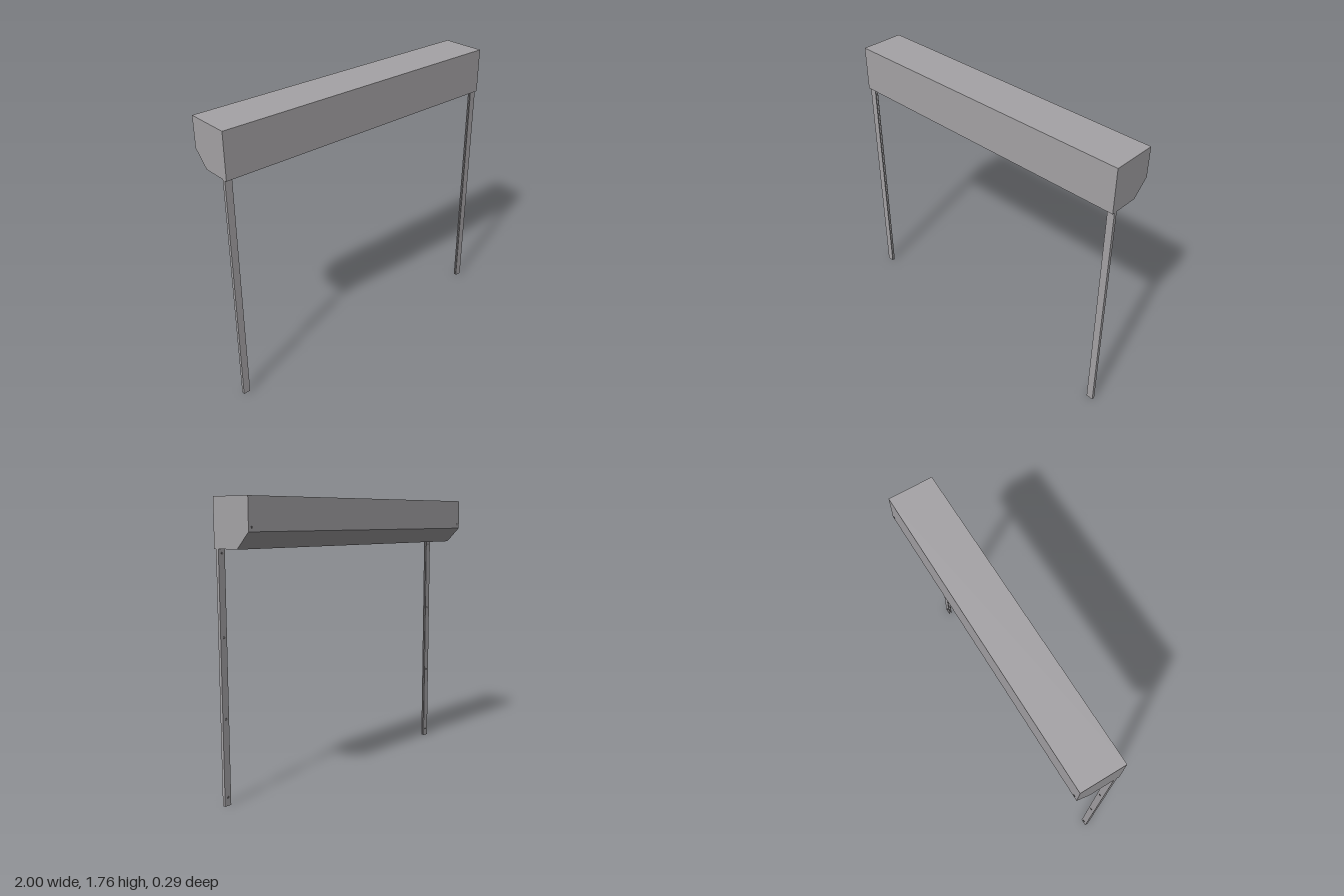
import * as THREE from 'three';

export function createModel() {
  const group = new THREE.Group();
  const metal = new THREE.MeshStandardMaterial({ color: 0xa5a3a6 });
  metal.name = 'greyMetal';
  const dark = new THREE.MeshStandardMaterial({ color: 0x6b696b });
  dark.name = 'darkScrew';

  const add = (name, geometry, material, x = 0, y = 0, z = 0) => {
    const mesh = new THREE.Mesh(geometry, material);
    mesh.name = name;
    mesh.position.set(x, y, z);
    group.add(mesh);
    return mesh;
  };
  const outline = (points) => new THREE.Shape(points.map(([x, y]) => new THREE.Vector2(x, y)));

  // Housing: box profile with a chamfered lower back edge, swept along x
  const profile = outline([[-0.145, 1.48], [0.045, 1.48], [0.14, 1.575], [0.14, 1.765], [-0.145, 1.765]]);
  const housing = new THREE.ExtrudeGeometry(profile, { depth: 2, bevelEnabled: false });
  housing.rotateY(Math.PI / 2); // profile x becomes -z
  housing.translate(-1, 0, 0);
  add('housing', housing, metal);

  // Small round screw head facing backwards
  const screw = new THREE.CylinderGeometry(0.007, 0.007, 0.003, 16);
  screw.rotateX(Math.PI / 2);

  for (const side of [1, -1]) {
    // Guide rail: C channel, open towards the middle
    const points = [
      [1, -0.13], [1, -0.11], [0.955, -0.11], [0.955, -0.115],
      [0.992, -0.115], [0.992, -0.125], [0.955, -0.125], [0.955, -0.13],
    ].map(([x, y]) => [x * side, y]);
    const rail = new THREE.ExtrudeGeometry(outline(points), { depth: 1.48, bevelEnabled: false });
    rail.rotateX(-Math.PI / 2);
    add(side > 0 ? 'leftRail' : 'rightRail', rail, metal);

    // Screws down the back of the rail
    for (const y of [0.05, 0.515, 0.985, 1.455]) add('railScrew', screw, dark, side * 0.975, y, 0.109);

    // Screw in the lower corner of the housing back
    add('housingScrew', screw, dark, side * 0.975, 1.6, -0.1405);
  }
  return group;
}
